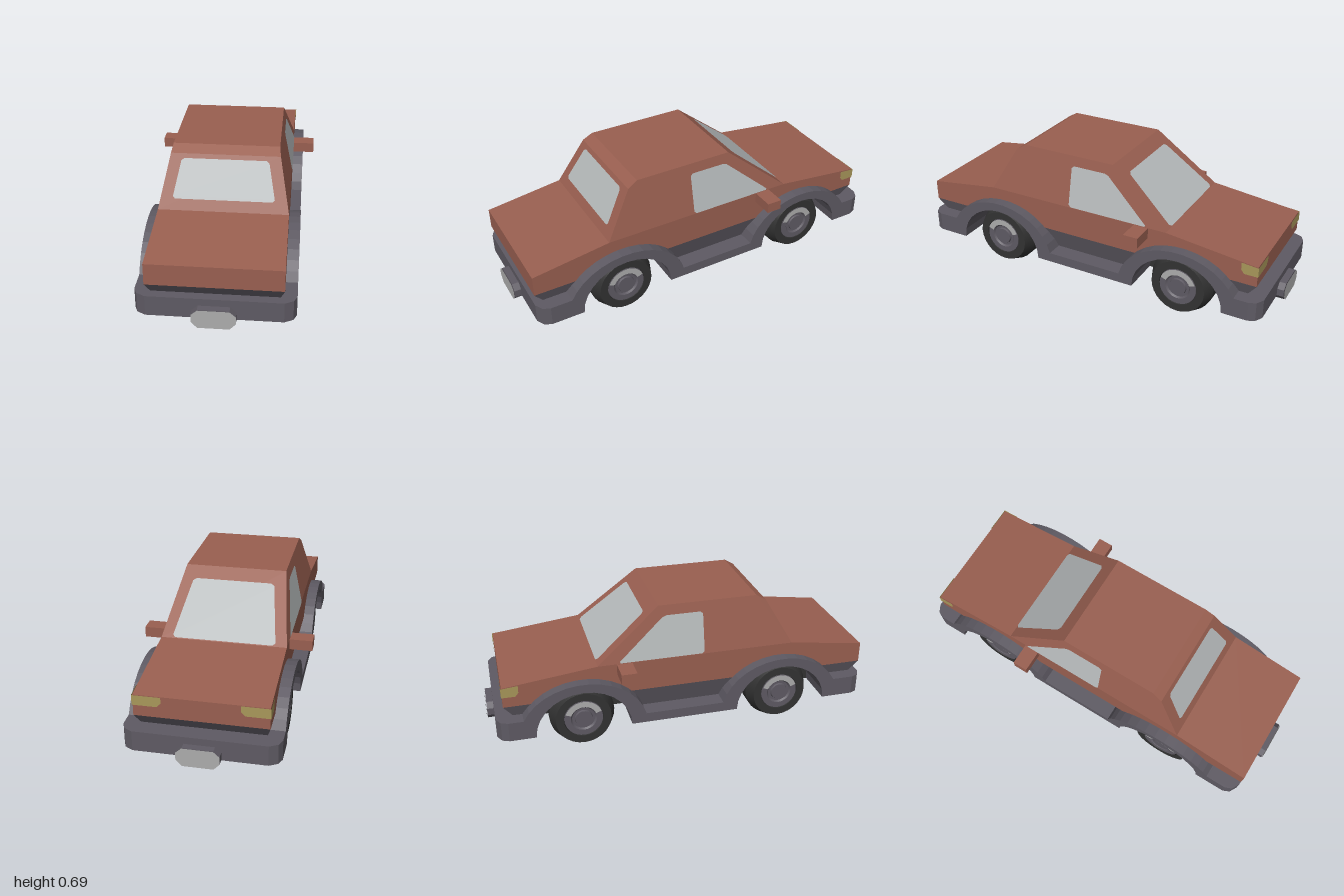
import * as THREE from 'three';
import { toCreasedNormals } from 'three/addons/utils/BufferGeometryUtils.js';

const mat = (name, color, side = THREE.FrontSide) => {
  const m = new THREE.MeshStandardMaterial({ color, side });
  m.name = name;
  return m;
};

const REAR = 0.5, FRONT = -0.535; // axle positions along z
const BASE = 0.11;                // underside height

// Elliptical arch over an axle, running towards -z between two heights
function arch(cz, rx, ry, y0, y1, n = 14) {
  const a = Math.asin((y0 - BASE) / ry), b = Math.PI - Math.asin((y1 - BASE) / ry);
  return Array.from({ length: n + 1 }, (_, i) => {
    const t = a + (b - a) * i / n;
    return [cz + rx * Math.cos(t), BASE + ry * Math.sin(t)];
  });
}

const shapeOf = pts => new THREE.Shape(pts.map(p => new THREE.Vector2(...p)));

// Side profile of (z, y) points extruded across x
function across(pts, x0, x1) {
  const g = new THREE.ExtrudeGeometry(shapeOf(pts), { depth: x1 - x0, bevelEnabled: false });
  return g.rotateY(-Math.PI / 2).translate(x1, 0, 0);
}

// Thin flat panel with clipped corners, lifted slightly off the surface
function panel(corners, clip = 0) {
  let v = corners.map(c => new THREE.Vector3(...c));
  const n = new THREE.Vector3().crossVectors(v[1].clone().sub(v[0]), v[2].clone().sub(v[0])).normalize();
  const centre = v.reduce((s, p) => s.add(p), new THREE.Vector3()).divideScalar(v.length);
  const flip = n.dot(centre.clone().sub(new THREE.Vector3(0, 0.38, 0))) < 0;
  if (flip) { v.reverse(); n.negate(); }
  if (clip) {
    v = v.flatMap((p, i) => [v[(i + v.length - 1) % v.length], v[(i + 1) % v.length]]
      .map(q => p.clone().add(q.clone().sub(p).setLength(clip))));
  }
  v.forEach(p => p.addScaledVector(n, 0.004));
  const g = new THREE.BufferGeometry().setFromPoints(v);
  g.setIndex(v.slice(2).flatMap((_, i) => [0, i + 1, i + 2]));
  g.computeVertexNormals();
  return g;
}

export function createModel() {
  const paint = mat('body paint', 0x995f50);
  const trim = mat('grey trim', 0x5e5a63);
  const rubber = mat('tyre black', 0x323232);
  const glass = mat('window glass', 0xb6babb, THREE.DoubleSide);
  const metal = mat('light metal', 0xacacac, THREE.DoubleSide);
  const lamp = mat('headlight yellow', 0xa8975a, THREE.DoubleSide);

  const car = new THREE.Group();
  car.name = 'car';
  const add = (name, geo, m, parent = car) => {
    const mesh = new THREE.Mesh(geo, m);
    mesh.name = name;
    parent.add(mesh);
    return mesh;
  };

  // Lower body with notches for the wheels
  add('lowerBody', across([
    [0.96, 0.27], [0.96, 0.375], [0.565, 0.43], [-0.45, 0.43], [-0.92, 0.375], [-0.92, 0.27],
    ...arch(FRONT, 0.28, 0.235, 0.27, 0.27).reverse(),
    ...arch(REAR, 0.28, 0.235, 0.27, 0.27).reverse(),
  ], -0.31, 0.31), paint);

  // Cabin narrowing towards the roof
  const halfWidth = y => 0.31 - (y - 0.43) * 0.055 / 0.265;
  const cabin = across([[0.565, 0.43], [0.43, 0.665], [0.38, 0.695], [-0.13, 0.695], [-0.45, 0.43]], -0.31, 0.31);
  const p = cabin.attributes.position;
  for (let i = 0; i < p.count; i++) p.setX(i, Math.sign(p.getX(i)) * halfWidth(p.getY(i)));
  cabin.computeVertexNormals();
  add('cabin', cabin, paint);

  // Undercut band sloping in below the paint: z ranges at its top and bottom
  for (const [t0, t1, b0, b1] of [[0.748, 0.96, 0.748, 0.88], [-0.285, 0.255, -0.285, 0.255], [-0.92, -0.785, -0.84, -0.785]]) {
    const g = new THREE.BoxGeometry(2, 0.11, 1).toNonIndexed();
    const q = g.attributes.position;
    for (let i = 0; i < q.count; i++) {
      const top = q.getY(i) > 0, far = q.getZ(i) > 0;
      q.setXYZ(i, Math.sign(q.getX(i)) * (top ? 0.31 : 0.276), top ? 0.27 : 0.16,
        top ? (far ? t1 : t0) : (far ? b1 : b0));
    }
    g.computeVertexNormals();
    add('undercutBand', g, trim);
  }

  // Sills and wheel arches, with a solid floor between the wheels
  const upper = [
    [0.85, BASE], [0.85, 0.21],
    ...arch(REAR, 0.32, 0.26, 0.21, 0.16), ...arch(FRONT, 0.32, 0.26, 0.16, 0.21),
    [-0.85, 0.21], [-0.85, BASE],
  ];
  const openings = [FRONT, REAR].map(z => arch(z, 0.24, 0.215, BASE, BASE).reverse());
  const skirt = [...upper, ...openings.flat()];
  add('floor', across(upper, -0.15, 0.15), trim);
  add('leftSkirt', across(skirt, 0.15, 0.365), trim);
  add('rightSkirt', across(skirt, -0.365, -0.15), trim);
  for (const o of openings) {
    add('leftWheelWell', across(o, 0.149, 0.155), rubber);
    add('rightWheelWell', across(o, -0.155, -0.149), rubber);
  }

  // Bumpers with rounded corners and a small plate on each
  for (const end of [1, -1]) {
    const half = [[0.365, 0.8], [0.365, 0.905], [0.35, 0.94], [0.31, 0.962]];
    const plan = [...half, ...half.map(([x, z]) => [-x, z]).reverse()].map(([x, z]) => [x, -z * end]);
    const bumper = new THREE.ExtrudeGeometry(shapeOf(plan), { depth: 0.1, bevelEnabled: false });
    add(end > 0 ? 'rearBumper' : 'frontBumper', bumper.rotateX(-Math.PI / 2).translate(0, BASE, 0), trim);

    const outline = [[0.1, 0.113], [0.1, 0.15], [0.072, 0.175], [-0.072, 0.175],
      [-0.1, 0.15], [-0.1, 0.113], [-0.072, 0.083], [0.072, 0.083]];
    const block = new THREE.ExtrudeGeometry(shapeOf(outline), { depth: 0.046, bevelEnabled: false });
    add('plateBlock', block.translate(0, 0, end > 0 ? 0.95 : -0.996), trim);
    add('plateFace', panel(outline.map(([x, y]) => [x, y, end * 0.996])), metal);
  }

  // Front and back glass
  const backZ = y => 0.565 - (y - 0.43) * 0.135 / 0.235;
  const frontZ = y => -0.45 + (y - 0.43) * 0.32 / 0.265;
  add('rearWindow', panel([[-0.243, 0.477, backZ(0.477)], [0.243, 0.477, backZ(0.477)],
    [0.207, 0.645, backZ(0.645)], [-0.207, 0.645, backZ(0.645)]], 0.012), glass);
  add('windscreen', panel([[-0.255, 0.432, frontZ(0.432)], [0.255, 0.432, frontZ(0.432)],
    [0.205, 0.645, frontZ(0.645)], [-0.205, 0.645, frontZ(0.645)]], 0.014), glass);

  // Parts on both sides
  for (const s of [1, -1]) {
    const side = s > 0 ? 'left' : 'right';
    add(side + 'SideWindow', panel([[0.095, 0.433], [0.095, 0.645], [-0.105, 0.645], [-0.348, 0.433]]
      .map(([z, y]) => [s * halfWidth(y), y, z]), 0.012), glass);

    add(side + 'Mirror', new THREE.BoxGeometry(0.125, 0.053, 0.078).translate(s * 0.3605, 0.402, -0.315), paint);
    add(side + 'MirrorGlass', panel([[0.31, 0.376], [0.423, 0.376], [0.423, 0.428], [0.31, 0.428]]
      .map(([x, y]) => [s * x, y, -0.276])), metal);

    // Headlight wrapping around the corner
    add(side + 'HeadlightFront', panel([[0.314, 0.325], [0.314, 0.374], [0.18, 0.374], [0.18, 0.345], [0.2, 0.325]]
      .map(([x, y]) => [s * x, y, -0.92])), lamp);
    add(side + 'HeadlightSide', panel([[-0.924, 0.325], [-0.924, 0.374], [-0.84, 0.382], [-0.84, 0.345], [-0.855, 0.325]]
      .map(([z, y]) => [s * 0.31, y, z])), lamp);

    // Wheels
    for (const z of [REAR, FRONT]) {
      const wheel = new THREE.Group();
      wheel.name = side + (z > 0 ? 'RearWheel' : 'FrontWheel');
      wheel.position.set(s * 0.143, 0.165, z);
      if (s < 0) wheel.rotation.y = Math.PI;
      const lathe = pts => toCreasedNormals(new THREE.LatheGeometry(
        pts.map(a => new THREE.Vector2(...a)), 28).rotateZ(-Math.PI / 2), 0.35);
      add('tyre', lathe([[0, 0], [0.14, 0], [0.165, 0.06], [0.165, 0.137], [0.14, 0.197], [0.1, 0.197], [0.096, 0.18]]), rubber, wheel);
      add('rim', lathe([[0.1, 0.18], [0.096, 0.196], [0.066, 0.196], [0.058, 0.188], [0.045, 0.188], [0.042, 0.197], [0, 0.197]]), trim, wheel);
      add('rimHighlight', new THREE.RingGeometry(0.066, 0.096, 20, 1, 0.35, Math.PI - 0.7)
        .rotateY(Math.PI / 2).translate(0.199, 0, 0), metal, wheel);
      car.add(wheel);
    }
  }
  return car;
}
